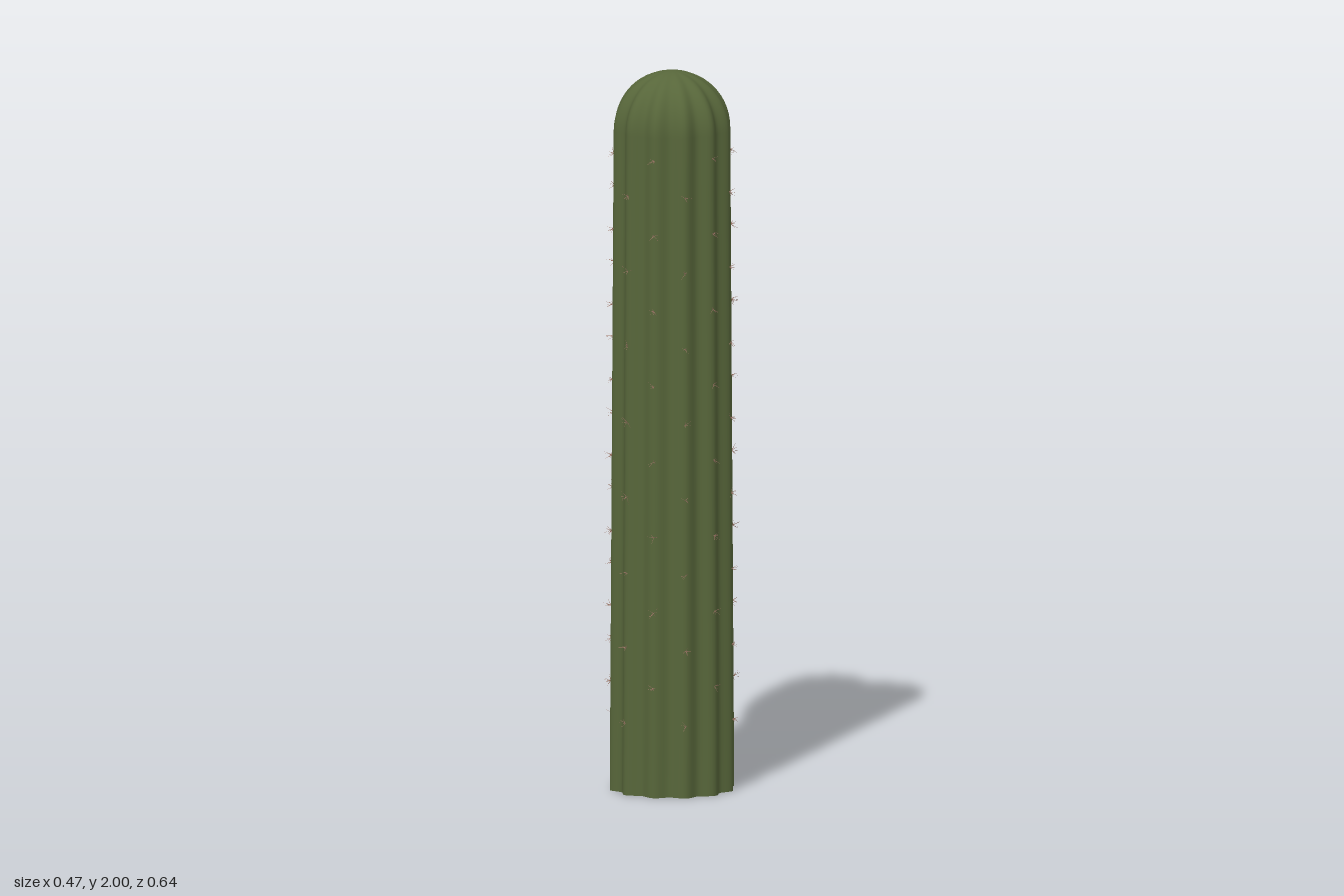
import * as THREE from 'three';
import { mergeGeometries } from 'three/addons/utils/BufferGeometryUtils.js';

const UP = new THREE.Vector3(0, 1, 0);

// Small seeded generator for the spine directions
let seed = 7;
const rand = () => (seed = (seed * 16807) % 2147483647) / 2147483647;

// Radius factor of a ribbed cross-section, 1 on the rib crests
const ribFactor = (angle, ribs, depth) => 1 - depth * (0.5 - 0.5 * Math.cos(ribs * angle));

// A point at an angle around a stem section
function around(section, angle, radius) {
  const q = new THREE.Quaternion().setFromUnitVectors(UP, section.tangent);
  return new THREE.Vector3(Math.cos(angle) * radius, 0, Math.sin(angle) * radius)
    .applyQuaternion(q).add(section.point);
}

// A section of the stem at a fraction of its length
function sectionAt(stem, t) {
  return {
    point: stem.curve.getPointAt(t),
    tangent: stem.curve.getTangentAt(t).normalize(),
    radius: THREE.MathUtils.lerp(stem.r0, stem.r1, t),
    depth: stem.depth,
  };
}

// Ribbed skin swept along the curve and closed with a dome where the ribs soften
function stemGeometry(stem) {
  const sides = stem.ribs * 10, sections = [];
  for (let i = 0; i <= stem.steps; i++) sections.push(sectionAt(stem, i / stem.steps));
  const end = sections[stem.steps];
  for (let i = 1; i <= 14; i++) {
    const a = (i / 14) * Math.PI / 2;
    sections.push({
      point: end.point.clone().addScaledVector(end.tangent, Math.sin(a) * stem.r1),
      tangent: end.tangent,
      radius: Math.max(Math.cos(a) * stem.r1, 0.0005),
      depth: stem.depth * (0.4 + 0.6 * Math.cos(a)),
    });
  }
  const positions = [], indices = [];
  sections.forEach((s, j) => {
    for (let i = 0; i < sides; i++) {
      const a = (i / sides) * Math.PI * 2;
      positions.push(...around(s, a, s.radius * ribFactor(a, stem.ribs, s.depth)).toArray());
      if (j === sections.length - 1) continue;
      const p = j * sides + i, q = j * sides + (i + 1) % sides;
      indices.push(p, p + sides, q, q, p + sides, q + sides);
    }
  });
  const geometry = new THREE.BufferGeometry();
  geometry.setAttribute('position', new THREE.Float32BufferAttribute(positions, 3));
  geometry.setIndex(indices);
  geometry.computeVertexNormals();
  return geometry;
}

// Flat ribbed disc that closes the underside
function baseGeometry(stem) {
  const shape = new THREE.Shape();
  const sides = stem.ribs * 10;
  for (let i = 0; i < sides; i++) {
    const a = (i / sides) * Math.PI * 2;
    const r = stem.r0 * ribFactor(a, stem.ribs, stem.depth);
    shape[i ? 'lineTo' : 'moveTo'](Math.cos(a) * r, Math.sin(a) * r);
  }
  const p = stem.curve.getPointAt(0);
  return new THREE.ShapeGeometry(shape).rotateX(Math.PI / 2).translate(p.x, p.y, p.z);
}

// Tufts of thin spines staggered along every rib crest
function spineGeometry(stem, start, spacing) {
  const length = stem.curve.getLength(), spines = [];
  for (let k = 0; k < stem.ribs; k++) {
    const angle = (k / stem.ribs) * Math.PI * 2;
    for (let d = start + (k % 2) * spacing / 2; d < length; d += spacing) {
      const s = sectionAt(stem, d / length);
      const root = around(s, angle, s.radius - 0.001);
      const out = root.clone().sub(s.point).normalize();
      for (let i = 0; i < 8; i++) {
        const dir = new THREE.Vector3(rand() - 0.5, rand() - 0.5, rand() - 0.5)
          .multiplyScalar(2).addScaledVector(out, 0.9).normalize();
        const len = 0.013 + rand() * 0.013;
        const q = new THREE.Quaternion().setFromUnitVectors(UP, dir);
        spines.push(new THREE.ConeGeometry(0.0009, len, 3, 1, true)
          .translate(0, len / 2, 0).applyQuaternion(q).translate(root.x, root.y, root.z));
      }
    }
  }
  return mergeGeometries(spines);
}

export function createModel() {
  const green = new THREE.MeshStandardMaterial({ color: 0x57663a });
  green.name = 'cactus green';
  const brown = new THREE.MeshStandardMaterial({ color: 0xa67c6c });
  brown.name = 'spine brown';

  const group = new THREE.Group();
  group.name = 'cactus';
  const add = (parent, name, geometry, material) => {
    const mesh = new THREE.Mesh(geometry, material);
    mesh.name = name;
    parent.add(mesh);
  };

  // Upright trunk, and an arm that leaves it sideways and bends upward
  const axis = new THREE.Vector3(0.035, 0, 0.124);
  const armPath = [
    [0.04, 0.91, 0.08], [-0.006, 0.985, -0.045], [-0.057, 1.1, -0.138], [-0.097, 1.24, -0.19],
    [-0.109, 1.38, -0.202], [-0.109, 1.5, -0.202], [-0.109, 1.608, -0.202],
  ].map((p) => new THREE.Vector3(...p));

  const trunk = {
    curve: new THREE.LineCurve3(axis, axis.clone().setY(1.836)),
    r0: 0.175, r1: 0.164, ribs: 12, depth: 0.11, steps: 12,
  };
  const arm = {
    curve: new THREE.CatmullRomCurve3(armPath),
    r0: 0.107, r1: 0.107, ribs: 10, depth: 0.1, steps: 40,
  };

  for (const [name, stem, start, spacing] of [['trunk', trunk, 0.2, 0.21], ['arm', arm, 0.27, 0.16]]) {
    const part = new THREE.Group();
    part.name = name;
    add(part, name + 'Skin', stemGeometry(stem), green);
    add(part, name + 'Spines', spineGeometry(stem, start, spacing), brown);
    if (stem === trunk) add(part, 'trunkBase', baseGeometry(stem), green);
    group.add(part);
  }
  return group;
}
